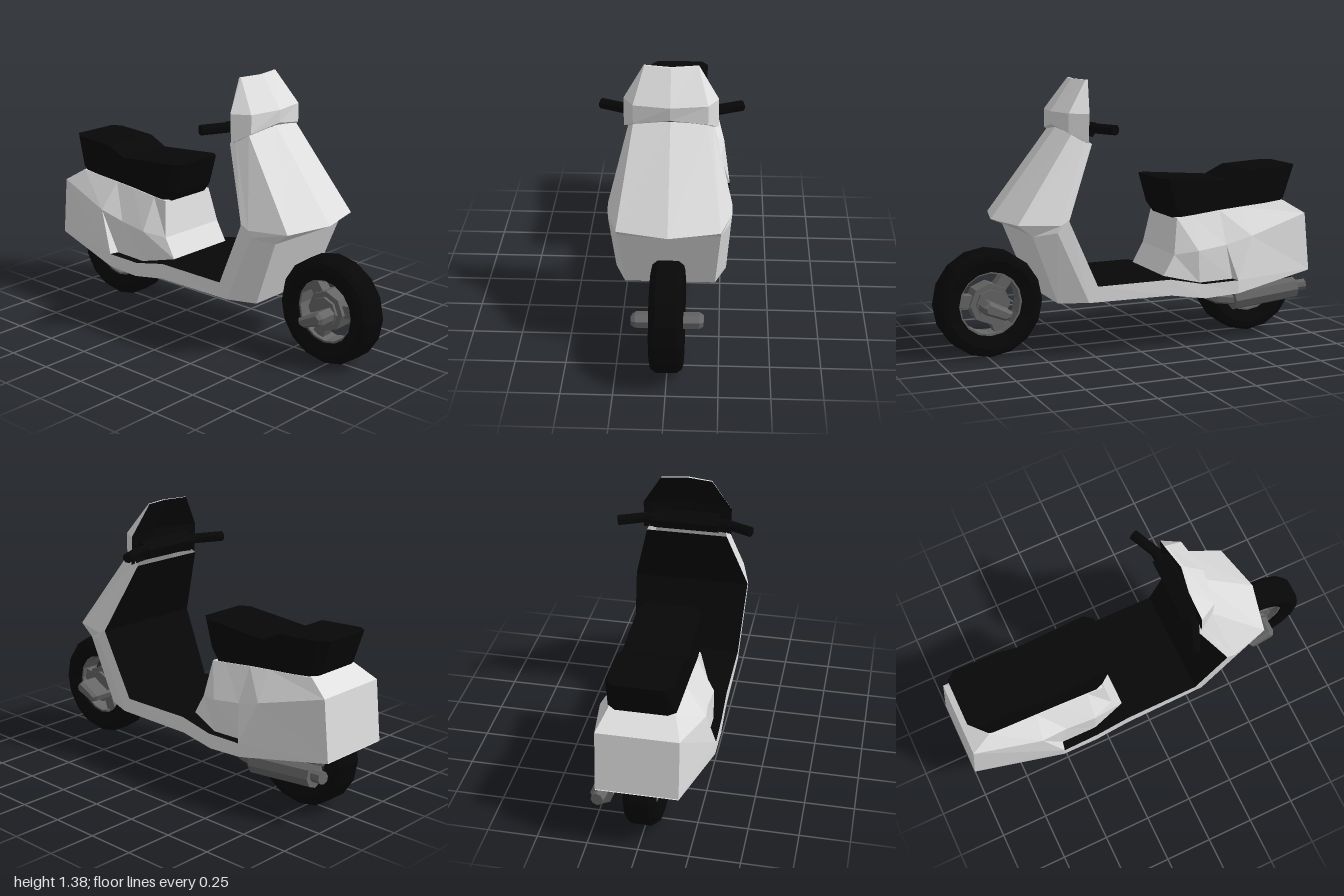
import * as THREE from 'three';

const mat = (name, color, side = THREE.FrontSide) => {
  const m = new THREE.MeshStandardMaterial({ color, flatShading: true, side });
  m.name = name;
  return m;
};

// Full cross-section from its +x half, ordered from -x to +x
const mirror = (half) => [
  ...half.slice(half[0][0] === 0 ? 1 : 0).reverse().map(([x, y, z]) => [-x, y, z]),
  ...half,
];

// Faceted skin through a list of cross-sections
function skin(rows) {
  const pos = [];
  const tri = (...p) => {
    const t = new THREE.Triangle(...p.map((q) => new THREE.Vector3(...q)));
    if (t.getArea() > 1e-7) pos.push(...p.flat());
  };
  for (let r = 0; r < rows.length - 1; r++) {
    for (let c = 0; c < rows[r].length - 1; c++) {
      const [a, b, d, e] = [rows[r][c], rows[r + 1][c], rows[r + 1][c + 1], rows[r][c + 1]];
      tri(a, b, e);
      tri(b, d, e);
    }
  }
  const g = new THREE.BufferGeometry();
  g.setAttribute('position', new THREE.Float32BufferAttribute(pos, 3));
  g.computeVertexNormals();
  return g;
}

// Straight cylinder between two points
function rod(a, b, r0, r1, sides) {
  const p = new THREE.Vector3(...a), q = new THREE.Vector3(...b);
  const d = q.clone().sub(p);
  const g = new THREE.CylinderGeometry(r1, r0, d.length(), sides);
  g.applyQuaternion(new THREE.Quaternion().setFromUnitVectors(new THREE.Vector3(0, 1, 0), d.normalize()));
  return g.translate(...p.add(q).multiplyScalar(0.5).toArray());
}

export function createModel() {
  const model = new THREE.Group();
  const white = mat('body white', 0xe0e0e0, THREE.DoubleSide);
  const black = mat('trim black', 0x070707, THREE.DoubleSide);
  const grey = mat('metal grey', 0x666666);
  const add = (name, geometry, material, parent = model) => {
    const m = new THREE.Mesh(geometry, material);
    m.name = name;
    parent.add(m);
    return m;
  };

  // Leg shield running down into the belly: centre, front corner, side, inner rim
  const shell = [
    [[0, 1.14, 0.365], [0.18, 1.12, 0.345], [0.2, 1.09, 0.28], [0.21, 1.07, 0.25]],
    [[0, 0.695, 0.71], [0.25, 0.695, 0.65], [0.304, 0.69, 0.45], [0.305, 0.715, 0.405]],
    [[0, 0.635, 0.575], [0.25, 0.635, 0.575], [0.3, 0.655, 0.465], [0.305, 0.705, 0.405]],
    [[0, 0.29, 0.44], [0.225, 0.29, 0.44], [0.28, 0.29, 0.295], [0.285, 0.37, 0.25]],
    [[0, 0.29, -0.15], [0.23, 0.29, -0.15], [0.287, 0.29, -0.15], [0.288, 0.373, -0.145]],
    [[0, 0.26, -0.34], [0.24, 0.26, -0.34], [0.293, 0.26, -0.34], [0.292, 0.335, -0.33]],
    [[0, 0.27, -0.53], [0.24, 0.27, -0.53], [0.295, 0.27, -0.53], [0.297, 0.34, -0.525]],
    [[0, 0.34, -1], [0.15, 0.34, -1], [0.2, 0.34, -1], [0.2, 0.345, -1]],
  ];
  add('legShieldAndBelly', skin(shell.map(mirror)), white);
  // Black inner shield and footboard between the rims
  add('footboard', skin(shell.slice(0, 7).map((h) => mirror([h[3]]).reverse())), black);

  // Rear body, front to back: centre top, top edge, side ridge, bottom edge
  const tail = [
    [[0, 0.375, -0.145], [0.2, 0.375, -0.145], [0.2, 0.375, -0.145], [0.2, 0.375, -0.145]],
    [[0, 0.48, -0.205], [0.2, 0.48, -0.205], [0.2, 0.48, -0.205], [0.2, 0.375, -0.145]],
    [[0, 0.665, -0.235], [0.165, 0.665, -0.235], [0.2, 0.48, -0.205], [0.2, 0.375, -0.145]],
    [[0, 0.672, -0.32], [0.165, 0.672, -0.32], [0.25, 0.5, -0.32], [0.25, 0.335, -0.325]],
    [[0, 0.69, -0.48], [0.165, 0.69, -0.48], [0.245, 0.52, -0.48], [0.25, 0.34, -0.515]],
    [[0, 0.7, -0.6], [0.165, 0.7, -0.6], [0.262, 0.56, -0.62], [0.297, 0.34, -0.525]],
    [[0, 0.72, -0.86], [0.16, 0.72, -0.86], [0.2, 0.65, -0.97], [0.2, 0.345, -1]],
    [[0, 0.65, -0.97], [0.2, 0.65, -0.97], [0.2, 0.65, -0.97], [0.2, 0.345, -1]],
    [[0, 0.345, -1], [0.2, 0.345, -1], [0.2, 0.345, -1], [0.2, 0.345, -1]],
  ];
  add('rearBody', skin(tail.map(mirror).reverse()), white);

  // Handlebar cowl with a hollowed black back
  const cowl = [
    [[0, 1.38, 0.278], [0.13, 1.38, 0.25], [0.132, 1.38, 0.24]],
    [[0, 1.22, 0.39], [0.18, 1.22, 0.36], [0.23, 1.22, 0.27]],
    [[0, 1.155, 0.385], [0.18, 1.125, 0.36], [0.23, 1.075, 0.275]],
    [[0, 1.13, 0.34], [0.17, 1.1, 0.32], [0.23, 1.075, 0.275]],
  ];
  const cowlBack = [
    [[0, 1.38, 0.265], [0.132, 1.38, 0.24]],
    [[0, 1.22, 0.33], [0.23, 1.22, 0.27]],
    [[0, 1.09, 0.29], [0.23, 1.075, 0.275]],
  ];
  add('cowl', skin(cowl.map(mirror)), white);
  add('cowlBack', skin(cowlBack.map((h) => mirror(h).reverse())), black);
  add('cowlTopEdge', skin([mirror(cowlBack[0]), mirror(cowl[0].slice(0, 2))]), white);

  // Handlebar
  const mount = add('handlebarMount', new THREE.BoxGeometry(0.34, 0.06, 0.08), black);
  mount.position.set(0, 1.145, 0.25);
  mount.rotation.x = -0.5;
  for (const s of [-1, 1]) {
    add('handlebarArm', rod([0, 1.15, 0.255], [s * 0.22, 1.15, 0.235], 0.025, 0.025, 8), black);
    add('grip', rod([s * 0.2, 1.147, 0.245], [s * 0.345, 1.147, 0.18], 0.026, 0.026, 8), black);
  }

  // Seat, front to back: half width, then top, lower edge and base as [y, z]
  const seat = [
    [0, [0.87, -0.145], [0.715, -0.19], [0.66, -0.23]],
    [0.125, [0.87, -0.145], [0.715, -0.19], [0.66, -0.23]],
    [0.16, [0.868, -0.19], [0.712, -0.235], [0.664, -0.27]],
    [0.16, [0.84, -0.555], [0.72, -0.555], [0.69, -0.555]],
    [0.16, [0.89, -0.66], [0.72, -0.65], [0.7, -0.65]],
    [0.16, [0.903, -0.895], [0.74, -0.86], [0.722, -0.84]],
    [0.125, [0.905, -0.94], [0.745, -0.885], [0.725, -0.875]],
    [0, [0.905, -0.94], [0.745, -0.885], [0.725, -0.875]],
  ].map(([x, top, low, base]) => [[0, ...top], [x, ...top], [x, ...low], [x, ...base], [0, ...base]]);
  add('seat', skin(seat.map(mirror).reverse()), black);

  // Closed ring around the x axis from a (radius, offset) profile
  const ring = (pts) =>
    new THREE.LatheGeometry([...pts, pts[0]].map((p) => new THREE.Vector2(...p)), 16).rotateZ(Math.PI / 2);
  const wheel = (name, z) => {
    const w = new THREE.Group();
    w.name = name;
    w.position.set(0, 0.276, z);
    add('tyre', ring([[0.165, -0.065], [0.225, -0.082], [0.253, -0.075], [0.272, -0.05],
      [0.272, 0.05], [0.253, 0.075], [0.225, 0.082], [0.165, 0.065]]), black, w);
    add('rim', ring([[0.155, -0.05], [0.172, -0.05], [0.172, 0.05], [0.155, 0.05]]), grey, w);
    add('hub', new THREE.CylinderGeometry(0.104, 0.104, 0.1, 8).rotateZ(Math.PI / 2), grey, w);
    add('hubCap', new THREE.CylinderGeometry(0.075, 0.075, 0.13, 8).rotateZ(Math.PI / 2), grey, w);
    for (let i = 0; i < 3; i++) {
      const spoke = add('spoke', new THREE.BoxGeometry(0.06, 0.1, 0.062).translate(0, 0.12, 0), grey, w);
      spoke.rotation.x = 1.43 + (i * Math.PI * 2) / 3;
    }
    model.add(w);
  };
  wheel('frontWheel', 0.732);
  wheel('rearWheel', -0.715);

  // Front axle block: tilted slab with tapered ends
  const slab = [[0.65, 0.25], [0.66, 0.22], [0.69, 0.21], [0.795, 0.25], [0.8, 0.285], [0.77, 0.31]];
  const axle = new THREE.ExtrudeGeometry(new THREE.Shape(slab.map(([z, y]) => new THREE.Vector2(-z, y))), {
    depth: 0.31, bevelThickness: 0.02, bevelSize: 0.012, bevelOffset: -0.012, bevelSegments: 1,
  });
  add('frontAxle', axle.translate(0, 0, -0.155).rotateY(Math.PI / 2), grey);

  // Exhaust on the left side
  add('exhaustHeader', rod([0.16, 0.285, -0.34], [0.18, 0.225, -0.47], 0.03, 0.03, 6), grey);
  add('exhaustElbow', rod([0.18, 0.228, -0.46], [0.19, 0.215, -0.56], 0.03, 0.03, 6), grey);
  add('muffler', rod([0.19, 0.216, -0.545], [0.19, 0.25, -0.915], 0.057, 0.057, 8), grey);
  add('tailpipe', rod([0.19, 0.255, -0.9], [0.2, 0.262, -0.975], 0.032, 0.032, 8), grey);
  return model;
}
